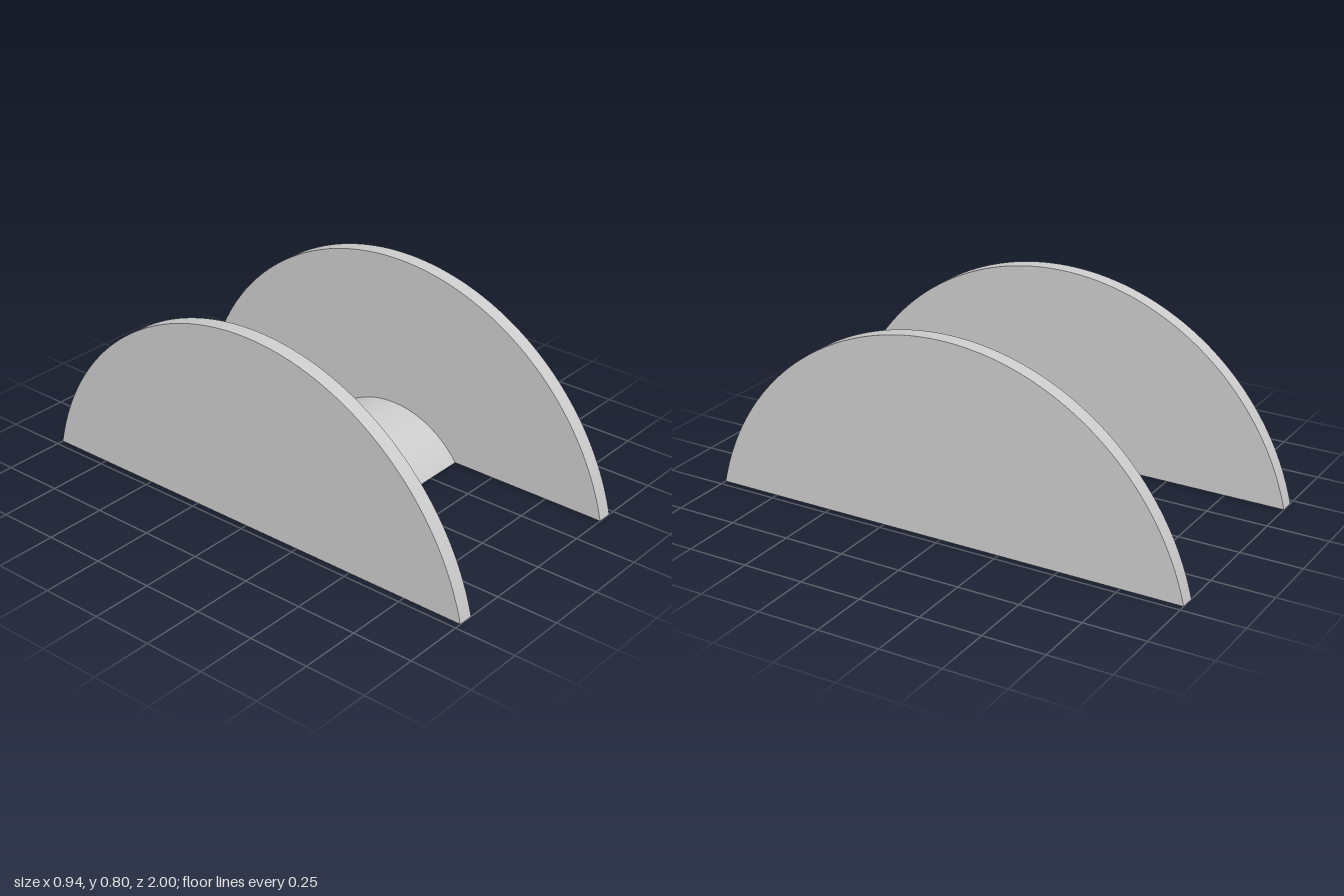
import * as THREE from 'three';
import { toCreasedNormals } from 'three/addons/utils/BufferGeometryUtils.js';

const AXIS_Y = -0.231; // shared arc centre, below the flat base

export function createModel() {
  const group = new THREE.Group();
  group.name = 'halfSpool';
  const material = new THREE.MeshStandardMaterial({ color: 0xcccccc });

  // A circular segment cut flat at y = 0, extruded along x and centred on x
  function addSegment(name, radius, width, x) {
    const a = Math.asin(-AXIS_Y / radius);
    const shape = new THREE.Shape();
    shape.absarc(0, AXIS_Y, radius, a, Math.PI - a, false);
    shape.closePath();
    const extruded = new THREE.ExtrudeGeometry(shape, { depth: width, bevelEnabled: false, curveSegments: 64 });
    extruded.translate(0, 0, -width / 2).rotateY(Math.PI / 2);
    const mesh = new THREE.Mesh(toCreasedNormals(extruded, Math.PI / 6), material);
    mesh.name = name;
    mesh.position.x = x;
    group.add(mesh);
  }

  // Core between the flanges
  addSegment('core', 0.394, 0.82, 0);

  // Side flanges
  addSegment('leftFlange', 1.0264, 0.062, 0.441);
  addSegment('rightFlange', 1.0264, 0.062, -0.441);

  return group;
}
